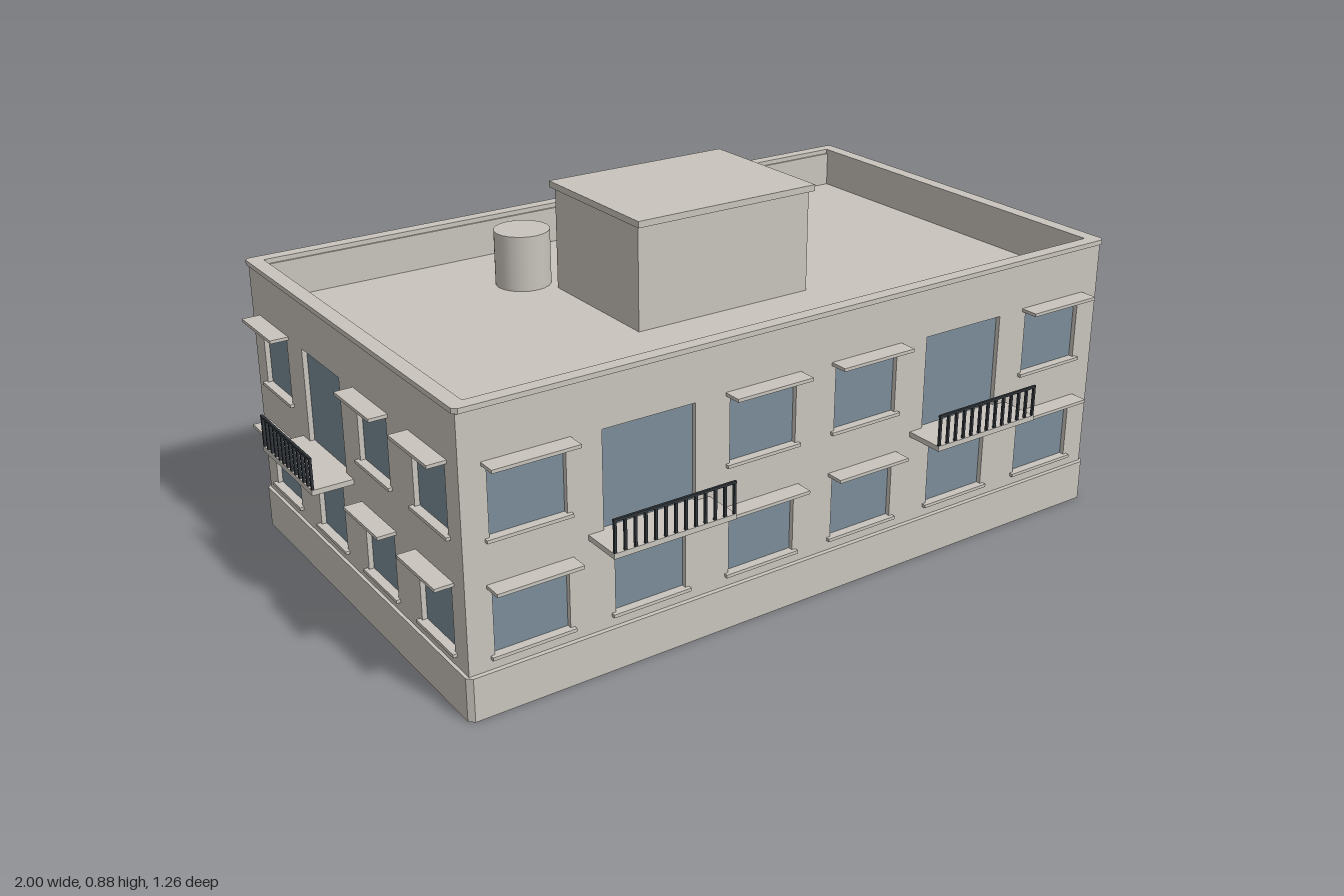
import * as THREE from 'three';

const wallMat = new THREE.MeshStandardMaterial({ color: 0xc9c4bd });
wallMat.name = 'plaster';
const glassMat = new THREE.MeshStandardMaterial({ color: 0x7a8c99 });
glassMat.name = 'glass';
const railMat = new THREE.MeshStandardMaterial({ color: 0x30353a });
railMat.name = 'darkIron';

const HX = 0.9, HZ = 0.53, THICK = 0.03;
const PLINTH_TOP = 0.105, WALL_TOP = 0.702, DECK = 0.61;

function mesh(parent, name, geometry, material) {
  const m = new THREE.Mesh(geometry, material);
  m.name = name;
  parent.add(m);
  return m;
}

// Box given by its minimum and maximum along each axis
function box(parent, name, material, x0, x1, y0, y1, z0, z1) {
  const m = mesh(parent, name, new THREE.BoxGeometry(x1 - x0, y1 - y0, z1 - z0), material);
  m.position.set((x0 + x1) / 2, (y0 + y1) / 2, (z0 + z1) / 2);
  return m;
}

function outline(target, hx, hz, c) {
  const pts = [[hx, -hz + c], [hx, hz - c], [hx - c, hz], [-hx + c, hz],
    [-hx, hz - c], [-hx, -hz + c], [-hx + c, -hz], [hx - c, -hz]];
  return target.setFromPoints(pts.map(([x, y]) => new THREE.Vector2(x, y)));
}

// Horizontal rectangular ring with chamfered corners
function ring(parent, name, hx, hz, ix, iz, y0, y1, chamfer, innerChamfer) {
  const shape = outline(new THREE.Shape(), hx, hz, chamfer);
  shape.holes.push(outline(new THREE.Path(), ix, iz, innerChamfer));
  const g = new THREE.ExtrudeGeometry(shape, { depth: y1 - y0, bevelEnabled: false });
  g.rotateX(-Math.PI / 2);
  mesh(parent, name, g, wallMat).position.y = y0;
}

function rectangle(target, x0, x1, y0, y1) {
  target.moveTo(x0, y0);
  target.lineTo(x1, y0);
  target.lineTo(x1, y1);
  target.lineTo(x0, y1);
  target.closePath();
  return target;
}

// Slab with an iron railing along its outer edge
function balcony(parent, x, width) {
  const g = new THREE.Group();
  g.name = 'balcony';
  g.position.x = x;
  parent.add(g);
  const h = width / 2;
  box(g, 'balconySlab', wallMat, -h, h, 0.333, 0.346, 0, 0.1);
  box(g, 'handrail', railMat, -h, h, 0.419, 0.425, 0.094, 0.1);
  const count = 13;
  for (let i = 0; i < count; i++) {
    const bx = -h + 0.004 + (i * (width - 0.008)) / (count - 1);
    box(g, 'baluster', railMat, bx - 0.003, bx + 0.003, 0.346, 0.42, 0.094, 0.1);
  }
}

// One facade facing +z, its outer plane at z = 0.
// Each bay: centre, window width, and door width where it has a balcony.
function facade(half, bays, balconyWidth) {
  const g = new THREE.Group();
  const wall = rectangle(new THREE.Shape(), -half, half, PLINTH_TOP, WALL_TOP);

  function opening(x, width, y0, y1, sill, hood) {
    const h = width / 2;
    wall.holes.push(rectangle(new THREE.Path(), x - h, x + h, y0, y1));
    box(g, 'windowGlass', glassMat, x - h, x + h, y0, y1, -0.018, -0.012);
    if (sill) box(g, 'windowSill', wallMat, x - h - 0.01, x + h + 0.01, y0 - 0.008, y0, -0.012, 0.01);
    if (hood) box(g, 'windowHood', wallMat, x - h - 0.012, x + h + 0.012, y1, y1 + 0.008, 0, 0.045);
  }

  for (const [x, width, doorWidth] of bays) {
    opening(x, width, 0.138, 0.298, true, !doorWidth);
    if (doorWidth) {
      opening(x, doorWidth, 0.346, 0.58, false, false);
      balcony(g, x, balconyWidth);
    } else {
      opening(x, width, 0.412, 0.576, true, true);
    }
  }
  const geo = new THREE.ExtrudeGeometry(wall, { depth: THICK, bevelEnabled: false });
  mesh(g, 'wall', geo, wallMat).position.z = -THICK;
  return g;
}

export function createModel() {
  const model = new THREE.Group();
  model.name = 'building';

  // Walls: long facades front and back, short ones turned to the sides
  const longBays = [];
  for (const s of [-1, 1]) {
    longBays.push([s * 0.746, 0.183], [s * 0.449, 0.183, 0.236], [s * 0.148, 0.183]);
  }
  const sideBays = [[-0.4, 0.15], [-0.133, 0.148, 0.205], [0.131, 0.15], [0.397, 0.15]];
  ['frontFacade', 'leftFacade', 'backFacade', 'rightFacade'].forEach((name, i) => {
    const long = i % 2 === 0;
    const f = long ? facade(HX, longBays, 0.312) : facade(HZ - THICK, sideBays, 0.282);
    f.name = name;
    const turn = (i * Math.PI) / 2;
    const distance = long ? HZ : HX;
    f.rotation.y = turn;
    f.position.set(Math.sin(turn) * distance, 0, Math.cos(turn) * distance);
    model.add(f);
  });

  // Hollow plinth with a narrow ledge, and the parapet coping
  ring(model, 'plinth', 0.908, 0.541, 0.904, 0.537, 0, PLINTH_TOP, 0.012, 0.011);
  ring(model, 'plinthLedge', 0.906, 0.539, 0.87, 0.5, 0.101, PLINTH_TOP, 0.012, 0.001);
  ring(model, 'coping', 0.907, 0.538, 0.87, 0.505, WALL_TOP, 0.714, 0.01, 0.001);

  // Roof deck
  box(model, 'roofDeck', wallMat, -0.875, 0.875, DECK - 0.008, DECK, -0.505, 0.505);

  // Stair house
  box(model, 'stairHouse', wallMat, -0.246, 0.246, DECK, 0.866, -0.182, 0.182);
  box(model, 'stairHouseRoof', wallMat, -0.254, 0.254, 0.866, 0.882, -0.196, 0.196);

  // Roof tanks
  for (const s of [-1, 1]) {
    const tank = mesh(model, 'roofTank', new THREE.CylinderGeometry(0.07, 0.07, 0.75 - DECK, 20), wallMat);
    tank.position.set(s * 0.296, (0.75 + DECK) / 2, -0.265);
  }
  return model;
}
